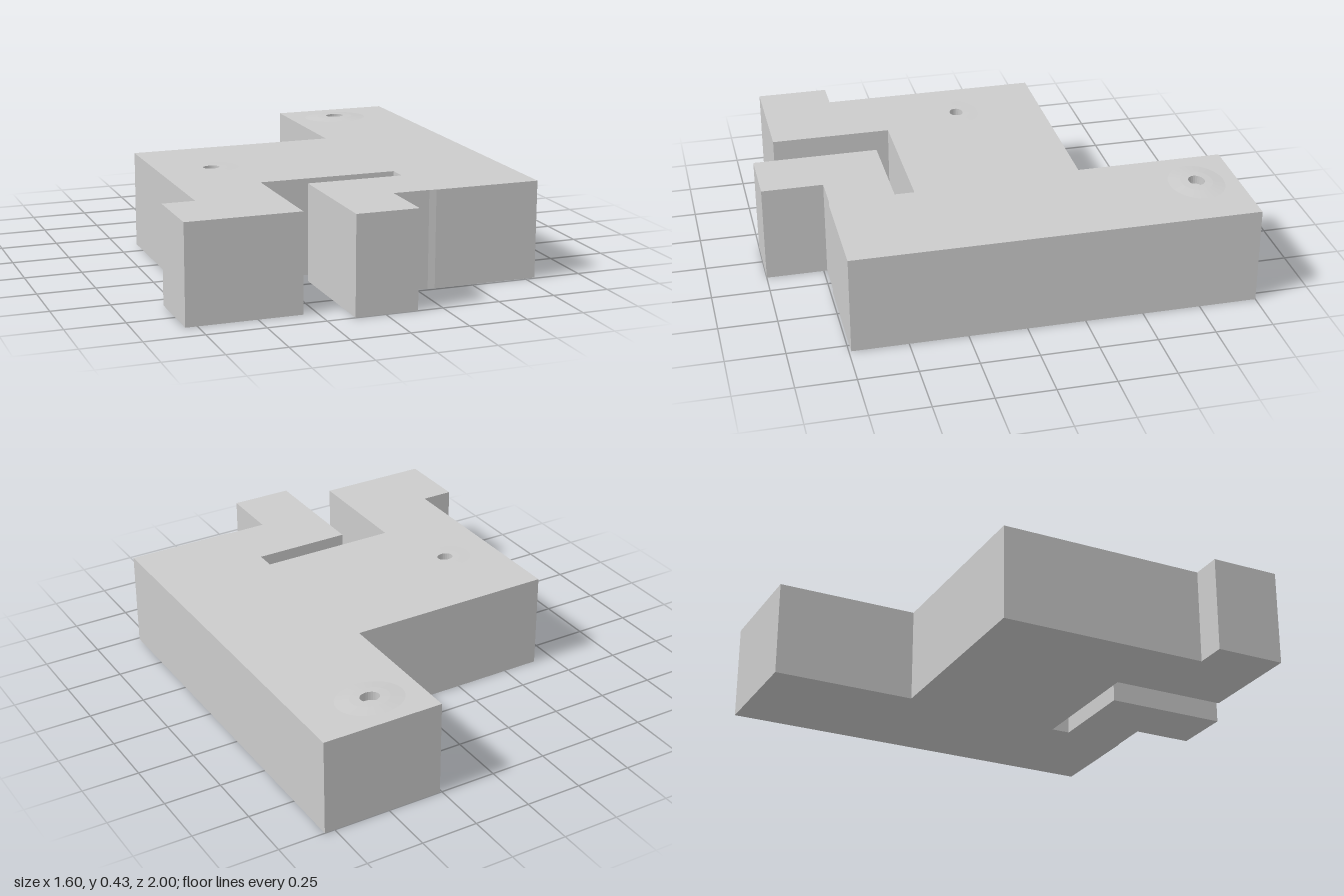
import * as THREE from 'three';

const HEIGHT = 0.425;

// Plan outline as [x, z], clockwise seen from above
const OUTLINE = [
  [0.26, -1], [0.795, -1], [0.795, 0.74], [0.33, 0.74], [0.3, 0.735], [0.14, 0.735],
  [0.14, 1], [-0.13, 1], [-0.13, 0.455], [0.295, 0.455], [0.295, 0.37], [-0.31, 0.37],
  [-0.31, 0.89], [-0.8, 0.89], [-0.8, 0.58], [-0.66, 0.58], [-0.66, -0.36], [0.26, -0.36],
];

// Shallow pits in the top, each with a gently raised surround
const PITS = [
  { name: 'rearPit', x: 0.483, z: -0.82, r: 0.043, squash: 0.8, spread: 0.15, rise: 0.008 },
  { name: 'frontPit', x: -0.42, z: 0.03, r: 0.036, squash: 0.82, spread: 0.12, rise: 0.001 },
];
const SEGMENTS = 24;

const material = new THREE.MeshStandardMaterial({ color: 0xcccccc, flatShading: true });

function addMesh(group, name, geometry) {
  const mesh = new THREE.Mesh(geometry, material);
  mesh.name = name;
  group.add(mesh);
  return mesh;
}

// Vertical faces following the outline
function wallGeometry() {
  const positions = [];
  OUTLINE.forEach(([ax, az], i) => {
    const [bx, bz] = OUTLINE[(i + 1) % OUTLINE.length];
    positions.push(ax, 0, az, ax, HEIGHT, az, bx, HEIGHT, bz);
    positions.push(ax, 0, az, bx, HEIGHT, bz, bx, 0, bz);
  });
  const geometry = new THREE.BufferGeometry();
  geometry.setAttribute('position', new THREE.Float32BufferAttribute(positions, 3));
  geometry.computeVertexNormals();
  return geometry;
}

export function createModel() {
  const group = new THREE.Group();
  group.name = 'block';

  addMesh(group, 'walls', wallGeometry());

  // Underside
  const base = new THREE.Shape(OUTLINE.map(([x, z]) => new THREE.Vector2(x, z)));
  addMesh(group, 'underside', new THREE.ShapeGeometry(base).rotateX(Math.PI / 2));

  // Top face, opened where the pits sit
  const top = new THREE.Shape(OUTLINE.map(([x, z]) => new THREE.Vector2(x, -z)));
  for (const p of PITS) {
    const ring = [];
    for (let i = 0; i < SEGMENTS; i++) {
      const a = (i / SEGMENTS) * Math.PI * 2;
      ring.push(new THREE.Vector2(p.x + Math.sin(a) * p.spread, -p.z - Math.cos(a) * p.spread * p.squash));
    }
    top.holes.push(new THREE.Path(ring));
  }
  const topMesh = addMesh(group, 'topFace', new THREE.ShapeGeometry(top).rotateX(-Math.PI / 2));
  topMesh.position.y = HEIGHT;

  // Raised surround, pit wall and pit floor
  for (const p of PITS) {
    const profile = [
      [p.spread, 0], [p.r * 2, p.rise * 0.8], [p.r, p.rise], [p.r, -0.03], [0, -0.03],
    ].map(([r, y]) => new THREE.Vector2(r, y));
    const pit = addMesh(group, p.name, new THREE.LatheGeometry(profile, SEGMENTS));
    pit.scale.z = p.squash;
    pit.position.set(p.x, HEIGHT, p.z);
  }

  return group;
}
